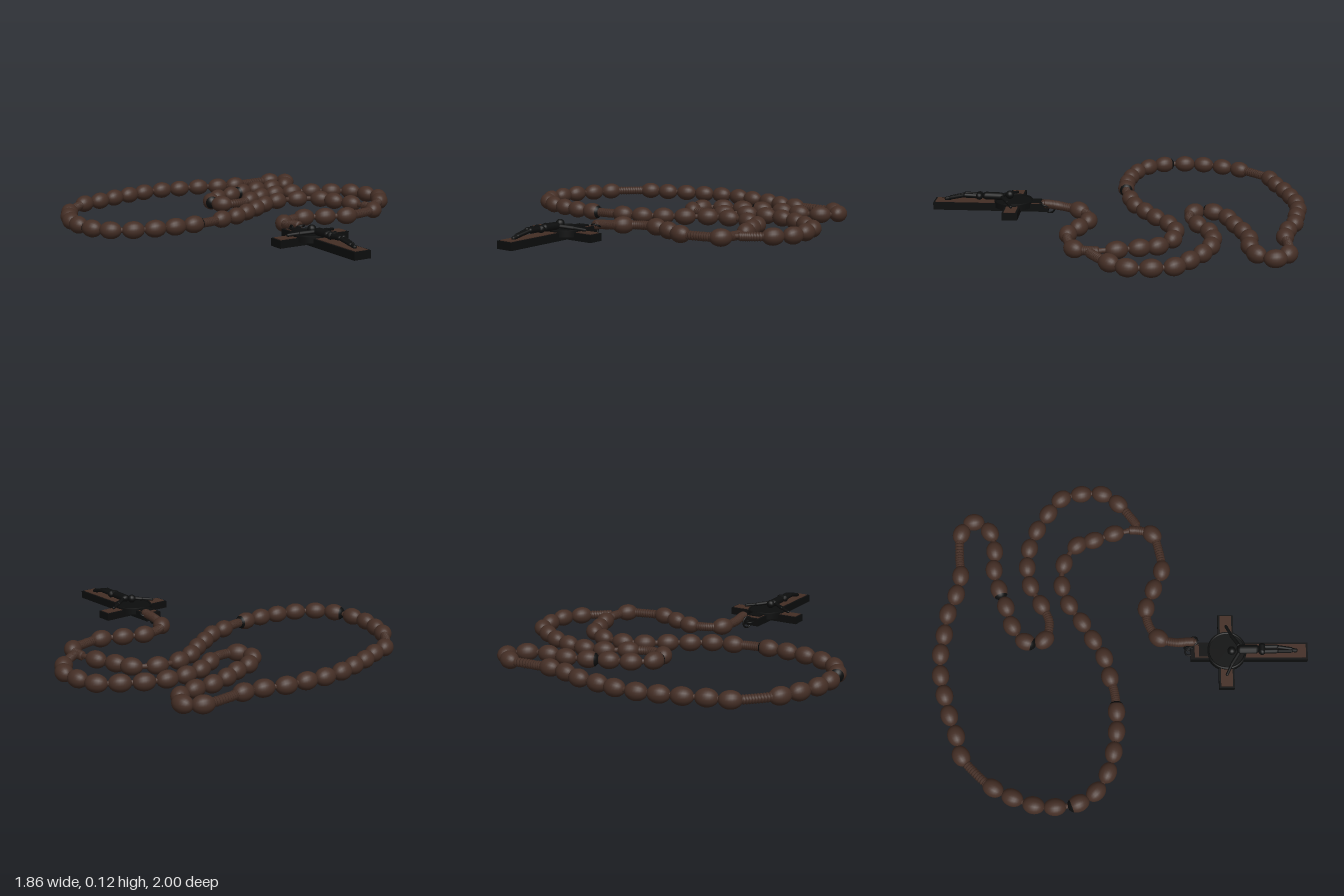
import * as THREE from 'three';

const wood = new THREE.MeshStandardMaterial({ color: 0x442e25 });
wood.name = 'dark brown wood';
const black = new THREE.MeshStandardMaterial({ color: 0x0c0d0d });
black.name = 'black metal';

const CORD_Y = 0.056;
const UP = new THREE.Vector3(0, 1, 0);
const FORWARD = new THREE.Vector3(0, 0, 1);

// Strand points: [x, z, kind, y]; kind 'k' is a knotted stretch of cord,
// 'f' / 'b' a bead with a black cap on its forward / backward end.
const LOOP = [
  [.66, .06, 'e'], [.64, -.04], [.60, -.15], [.57, -.24], [.46, -.31], [.33, -.32],
  [.22, -.28], [.12, -.21], [.02, -.15], [-.08, -.09], [-.19, -.06], [-.28, -.035, 'k'],
  [-.38, -.025, 'b'], [-.49, -.025], [-.60, -.04], [-.71, -.07], [-.81, -.13],
  [-.87, -.22, 'f'], [-.89, -.34], [-.88, -.45], [-.84, -.56], [-.79, -.66],
  [-.71, -.755, 'k'], [-.62, -.83], [-.51, -.86], [-.40, -.90], [-.29, -.93],
  [-.18, -.955], [-.06, -.96], [.05, -.945], [.17, -.93], [.28, -.89], [.39, -.87],
  [.50, -.88, 'k'], [.64, -.875], [.71, -.81], [.65, -.72], [.535, -.69], [.425, -.69],
  [.31, -.66, 'f'], [.21, -.62], [.10, -.585], [.01, -.51, 'f'], [.02, -.41],
  [.12, -.385, 'k'], [.22, -.43], [.33, -.49], [.44, -.51], [.55, -.50], [.66, -.46],
  [.76, -.40], [.85, -.33], [.88, -.22], [.88, -.105], [.82, -.015], [.73, .06, 'k'],
  [.67, .10, 'e'],
];
const TAIL = [
  [.66, .03, 'e'], [.66, .09, 'k'], [.635, .17], [.54, .205, 'k'], [.42, .22], [.31, .175],
  [.20, .135], [.11, .145, 'k'], [.03, .20], [0, .29, 'k', .066], [0, .35, 'k', .076],
  [0, .40, 'e', .08],
];

const beadGeo = new THREE.SphereGeometry(1, 20, 14);
const capGeo = new THREE.SphereGeometry(1.015, 20, 5, 0, Math.PI * 2, 0, 0.85);
const coilGeo = new THREE.TorusGeometry(0.014, 0.011, 6, 12);

function add(parent, name, geo, mat, x = 0, y = 0, z = 0) {
  const mesh = new THREE.Mesh(geo, mat);
  mesh.name = name;
  mesh.position.set(x, y, z);
  parent.add(mesh);
  return mesh;
}

// Cord with beads and coiled knots threaded along it
function strand(name, points) {
  const group = new THREE.Group();
  group.name = name;
  const curve = new THREE.CatmullRomCurve3(
    points.map(([x, z, , y = CORD_Y]) => new THREE.Vector3(x, y, z)));
  const last = points.length - 1;
  add(group, 'cord', new THREE.TubeGeometry(curve, last * 6, 0.014, 8), wood);

  points.forEach(([, , kind], i) => {
    if (kind === 'e') return;
    if (kind === 'k') {
      for (let j = -5; j <= 5; j++) {
        const t = Math.min(1, Math.max(0, (i + j * 0.12) / last));
        const coil = add(group, 'knotCoil', coilGeo, wood);
        coil.position.copy(curve.getPoint(t));
        coil.quaternion.setFromUnitVectors(FORWARD, curve.getTangent(t));
      }
      return;
    }
    const tangent = curve.getTangent(i / last);
    const place = (mesh, dir) => {
      mesh.position.copy(curve.getPoint(i / last));
      mesh.quaternion.setFromUnitVectors(UP, dir);
      mesh.scale.set(0.046, 0.058, 0.046);
    };
    place(add(group, 'bead', beadGeo, wood), tangent);
    if (kind) {
      place(add(group, 'beadCap', capGeo, black),
        kind === 'f' ? tangent : tangent.clone().negate());
    }
  });
  return group;
}

// Rounded limb between two points
function limb(parent, name, a, b, r) {
  const from = new THREE.Vector3(...a);
  const to = new THREE.Vector3(...b);
  const dir = to.clone().sub(from);
  const mesh = add(parent, name, new THREE.CapsuleGeometry(r, dir.length(), 4, 10), black);
  mesh.position.copy(from).add(to).multiplyScalar(0.5);
  mesh.quaternion.setFromUnitVectors(UP, dir.normalize());
  return mesh;
}

// Crucifix, modelled about x = 0 and then shifted
function crucifix() {
  const group = new THREE.Group();
  group.name = 'crucifix';
  group.position.x = -0.05;

  // Metal frame bars
  add(group, 'uprightFrame', new THREE.BoxGeometry(0.096, 0.04, 0.62), black, 0, 0.052, 0.68);
  add(group, 'crossbarFrame', new THREE.BoxGeometry(0.412, 0.039, 0.082), black, 0, 0.052, 0.557);

  // Wooden inlays on the upper face
  add(group, 'lowerInlay', new THREE.BoxGeometry(0.074, 0.006, 0.34), wood, 0, 0.072, 0.81);
  add(group, 'upperInlay', new THREE.BoxGeometry(0.074, 0.006, 0.08), wood, 0, 0.072, 0.43);
  for (const s of [-1, 1]) {
    add(group, 'armInlay', new THREE.BoxGeometry(0.11, 0.006, 0.062), wood, s * 0.142, 0.072, 0.557);
  }

  // Medallion and title plate
  add(group, 'medallion', new THREE.CylinderGeometry(0.105, 0.105, 0.03, 40), black, 0, 0.065, 0.56);
  const rim = add(group, 'medallionRim', new THREE.TorusGeometry(0.098, 0.006, 6, 40), black, 0, 0.08, 0.56);
  rim.rotation.x = Math.PI / 2;
  add(group, 'titlePlate', new THREE.BoxGeometry(0.066, 0.008, 0.05), black, 0, 0.077, 0.437);

  // Figure
  const figure = new THREE.Group();
  figure.name = 'figure';
  group.add(figure);
  add(figure, 'head', new THREE.SphereGeometry(0.023, 14, 10), black, -0.01, 0.106, 0.583);
  limb(figure, 'torso', [0, 0.1, 0.63], [0, 0.102, 0.71], 0.02).scale.x = 1.3;
  limb(figure, 'waistCloth', [-0.012, 0.102, 0.745], [0.014, 0.102, 0.745], 0.02);
  for (const s of [-1, 1]) {
    limb(figure, 'upperArm', [s * 0.025, 0.1, 0.62], [s * 0.08, 0.092, 0.585], 0.01);
    limb(figure, 'forearm', [s * 0.08, 0.092, 0.585], [s * 0.135, 0.084, 0.558], 0.008);
    limb(figure, 'thigh', [s * 0.012, 0.102, 0.75], [s * 0.012, 0.105, 0.82], 0.013);
    limb(figure, 'shin', [s * 0.012, 0.105, 0.82], [s * 0.006, 0.088, 0.9], 0.01);
  }
  limb(figure, 'feet', [0, 0.086, 0.9], [0, 0.08, 0.925], 0.011);

  // Hanging rings
  const eyelet = add(group, 'eyelet', new THREE.TorusGeometry(0.02, 0.005, 8, 20), black, 0, 0.055, 0.36);
  eyelet.rotation.x = Math.PI / 2;
  const link = add(group, 'linkRing', new THREE.TorusGeometry(0.03, 0.005, 8, 24), black, 0.018, 0.05, 0.365);
  link.rotation.y = Math.PI / 2 - 0.3;
  const cordRing = add(group, 'cordRing', new THREE.TorusGeometry(0.022, 0.005, 8, 20), black, 0.055, 0.075, 0.385);
  cordRing.rotation.x = Math.PI / 2 - 0.4;
  return group;
}

export function createModel() {
  const model = new THREE.Group();
  model.name = 'prayerBeads';
  model.add(strand('mainLoop', LOOP), strand('pendantStrand', TAIL), crucifix());
  return model;
}
